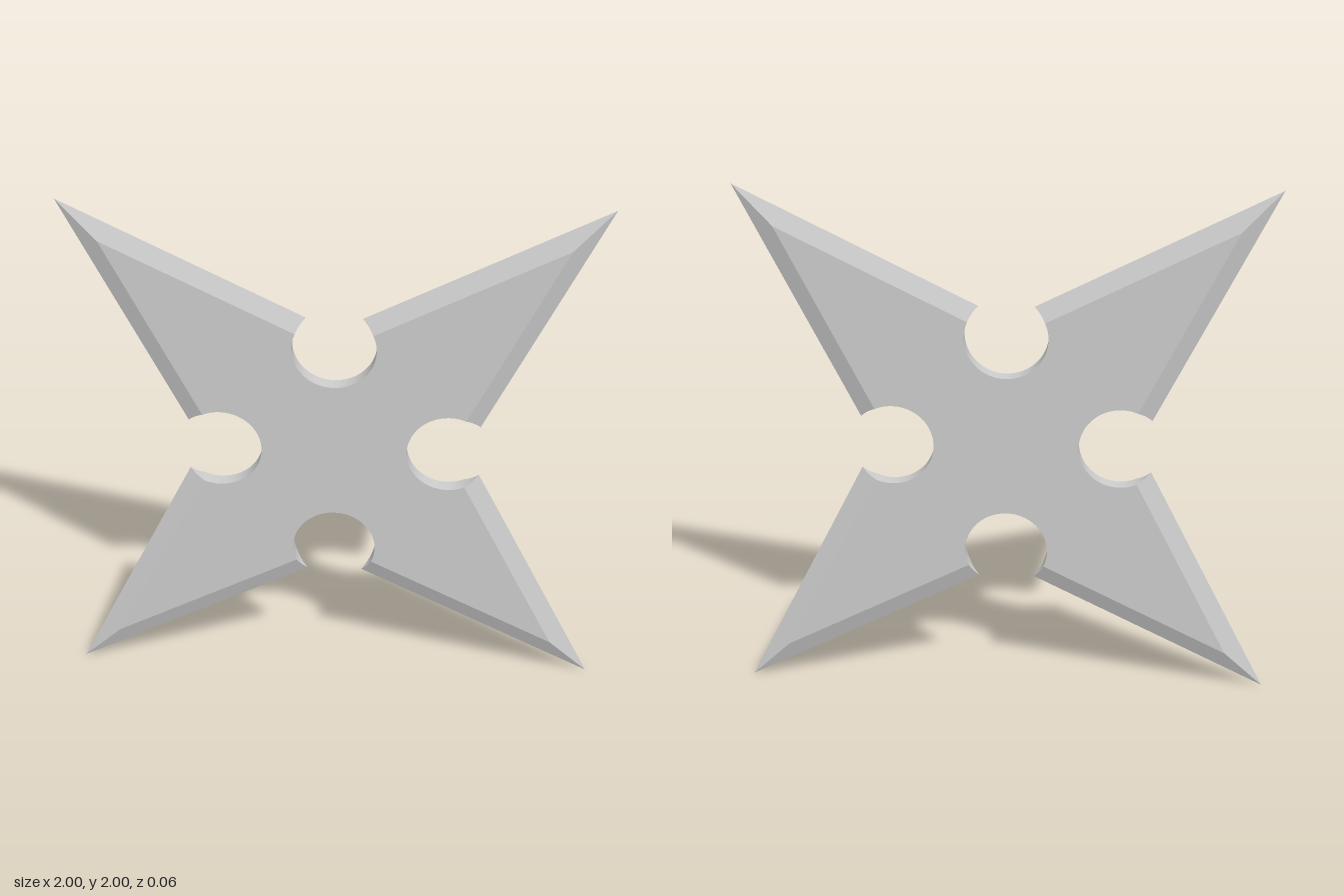
import * as THREE from 'three';

const TIP = 1, INNER_TIP = 0.85;      // corners of the cutting edge and of the flat face
const SLOPE = 0.505;                  // slope of the blade edges
const T = 0.03;                       // half thickness
const C = 0.43, R = 0.157;            // notch centre distance and radius
const ARC = 48, TAPER = 6;            // arc steps on the flat and bevelled parts

// Angle on the top notch where the blade line through (tip, tip) meets it
function hitAngle(tip) {
  const off = (tip * (1 - SLOPE) - C) / Math.hypot(SLOPE, 1);
  return Math.atan2(1, -SLOPE) - Math.acos(off / R);
}
const A_IN = hitAngle(INNER_TIP), A_OUT = hitAngle(TIP);

const onNotch = (a) => [R * Math.cos(a), C + R * Math.sin(a)];

// Half thickness falls to zero at the cutting edge
function halfThickness(x, y) {
  const gap = TIP - SLOPE * (TIP - Math.abs(x)) - y;
  return T * THREE.MathUtils.clamp(gap / ((TIP - INNER_TIP) * (1 - SLOPE)), 0, 1);
}

// Flat star face: each notch arc is followed by the next tip
function faceGeometry() {
  const shape = new THREE.Shape();
  for (let k = 0; k < 4; k++) {
    const q = k * Math.PI / 2;
    shape.absarc(-C * Math.sin(q), C * Math.cos(q), R, A_IN + q, -Math.PI - A_IN + q, true);
    const tip = new THREE.Vector2(-INNER_TIP, INNER_TIP).rotateAround(new THREE.Vector2(), q);
    shape.lineTo(tip.x, tip.y);
  }
  shape.closePath();
  return new THREE.ShapeGeometry(shape, ARC);
}

// Four bevel facets beside one notch: left and right, front and back
function bevelGeometry() {
  const rim = [[INNER_TIP, INNER_TIP, T]];
  for (let i = 0; i <= TAPER; i++) {
    const [x, y] = onNotch(THREE.MathUtils.lerp(A_IN, A_OUT, i / TAPER));
    rim.push([x, y, halfThickness(x, y)]);
  }
  const pos = [];
  for (const sx of [1, -1]) for (const sz of [1, -1]) {
    const put = ([x, y, z]) => pos.push(x * sx, y, z * sz);
    for (let i = 0; i < rim.length - 1; i++) {
      const [a, b] = sx * sz > 0 ? [rim[i + 1], rim[i]] : [rim[i], rim[i + 1]];
      put([TIP, TIP, 0]);
      put(a);
      put(b);
    }
  }
  const geo = new THREE.BufferGeometry();
  geo.setAttribute('position', new THREE.Float32BufferAttribute(pos, 3));
  geo.computeVertexNormals();
  return geo;
}

// Smooth inner wall of one notch, thinning out at both ends
function wallGeometry() {
  const angles = [];
  const span = (a, b, n) => {
    for (let i = 0; i < n; i++) angles.push(THREE.MathUtils.lerp(a, b, i / n));
  };
  span(A_OUT, A_IN, TAPER);
  span(A_IN, -Math.PI - A_IN, ARC);
  span(-Math.PI - A_IN, -Math.PI - A_OUT, TAPER);
  angles.push(-Math.PI - A_OUT);

  const pos = [], nor = [], idx = [];
  angles.forEach((a, i) => {
    const [x, y] = onNotch(a);
    const h = halfThickness(x, y);
    pos.push(x, y, h, x, y, -h);
    for (let s = 0; s < 2; s++) nor.push(-Math.cos(a), -Math.sin(a), 0);
    if (i > 0) {
      const f = 2 * (i - 1);
      idx.push(f, f + 1, f + 2, f + 2, f + 1, f + 3);
    }
  });
  const geo = new THREE.BufferGeometry();
  geo.setAttribute('position', new THREE.Float32BufferAttribute(pos, 3));
  geo.setAttribute('normal', new THREE.Float32BufferAttribute(nor, 3));
  geo.setIndex(idx);
  return geo;
}

export function createModel() {
  const group = new THREE.Group();
  group.name = 'throwingStar';
  const material = new THREE.MeshStandardMaterial({ color: 0xcccccc, side: THREE.DoubleSide });
  const add = (name, geo) => {
    const mesh = new THREE.Mesh(geo, material);
    mesh.name = name;
    mesh.position.y = 1;
    group.add(mesh);
    return mesh;
  };

  // Front and back faces
  const face = faceGeometry();
  add('frontFace', face).position.z = T;
  const back = add('backFace', face);
  back.position.z = -T;
  back.rotation.y = Math.PI;

  // Bevels and notch walls, repeated around the centre
  const bevel = bevelGeometry(), wall = wallGeometry();
  ['top', 'left', 'bottom', 'right'].forEach((side, k) => {
    add(side + 'BladeBevels', bevel).rotation.z = -k * Math.PI / 2;
    add(side + 'NotchWall', wall).rotation.z = -k * Math.PI / 2;
  });
  return group;
}
